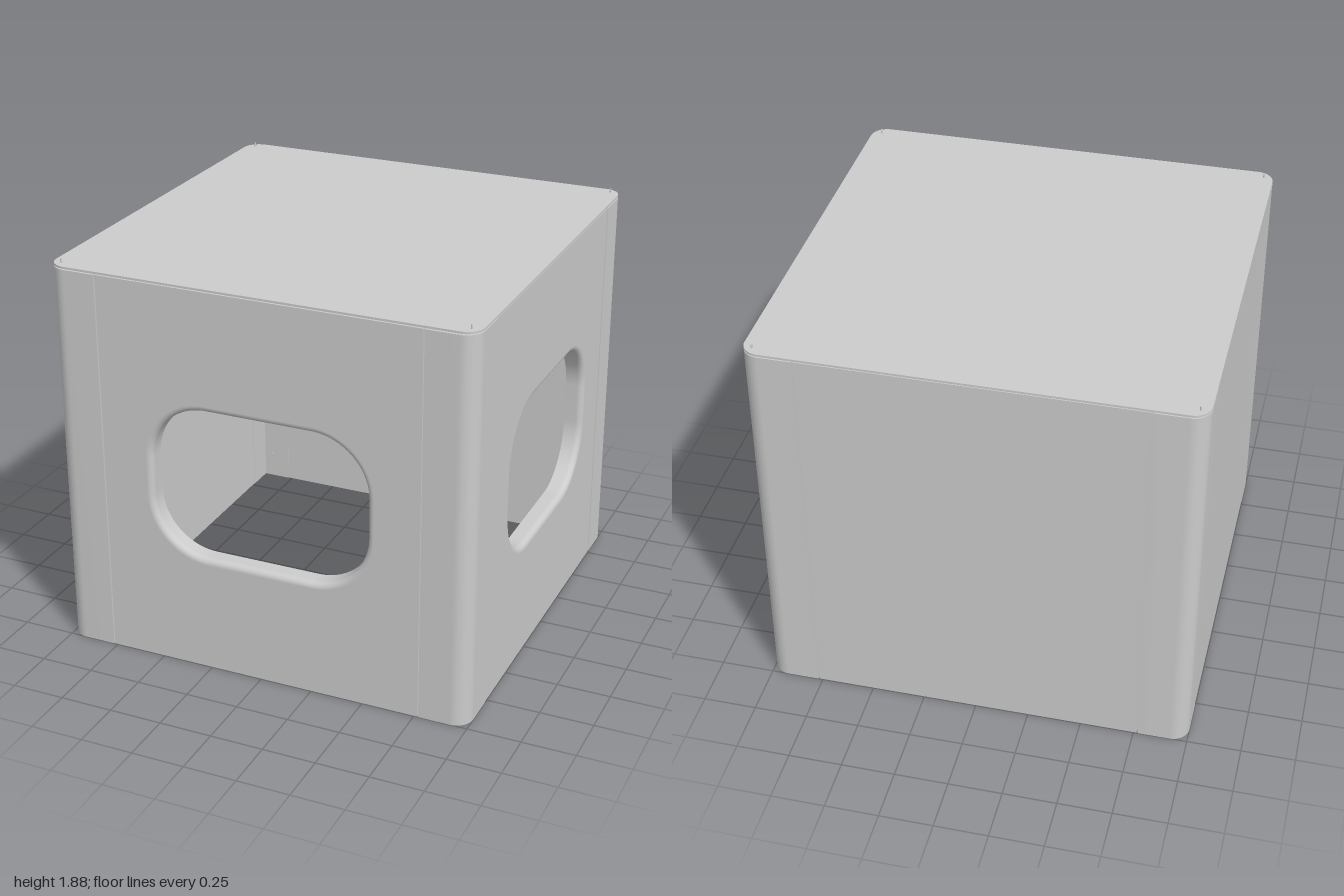
import * as THREE from 'three';
import { toCreasedNormals } from 'three/addons/utils/BufferGeometryUtils.js';

const TOP = 1.862, PLATE = 0.01, HEIGHT = 1.847;          // lid top, lid thickness, wall height
const SEAM = 0.77, GROOVE = 0.005, INNER = 0.908, PIN = 0.955;
const FACE = 0.998, FILLET = 0.028;
const grey = new THREE.MeshStandardMaterial({ color: 0xcccccc });
const greyDouble = new THREE.MeshStandardMaterial({ color: 0xcccccc, side: THREE.DoubleSide });

function add(parent, name, geometry, x = 0, y = 0, z = 0, material = grey) {
  const mesh = new THREE.Mesh(geometry, material);
  mesh.name = name;
  mesh.position.set(x, y, z);
  parent.add(mesh);
  return mesh;
}

// Rounded rectangle centred on (0, cy), with half sizes w and h
function roundedRect(w, h, r, cy = 0, Type = THREE.Shape) {
  const s = new Type();
  s.absarc(w - r, cy - h + r, r, -Math.PI / 2, 0);
  s.absarc(w - r, cy + h - r, r, 0, Math.PI / 2);
  s.absarc(-w + r, cy + h - r, r, Math.PI / 2, Math.PI);
  s.absarc(-w + r, cy - h + r, r, Math.PI, Math.PI * 1.5);
  s.closePath();
  return s;
}

function extrude(shape, depth) {
  const g = new THREE.ExtrudeGeometry(shape, { depth, bevelEnabled: false, curveSegments: 14 });
  return toCreasedNormals(g, 0.5);
}

// Extrude a plan shape upwards
const extrudeUp = (shape, height) => extrude(shape, height).rotateX(-Math.PI / 2);

const opening = (grow, Type) => roundedRect(0.522 + grow, 0.363 + grow, 0.27 + grow, 0.923, Type);

function wallShape(halfWidth) {
  const s = new THREE.Shape();
  s.moveTo(-halfWidth, 0);
  s.lineTo(halfWidth, 0);
  s.lineTo(halfWidth, HEIGHT);
  s.lineTo(-halfWidth, HEIGHT);
  s.closePath();
  return s;
}

// Quarter-round lip running around the window opening
function lipGeometry() {
  const steps = 8, pos = [], idx = [];
  let n = 0;
  for (let i = 0; i <= steps; i++) {
    const a = (i / steps) * Math.PI / 2;
    const pts = opening(FILLET * (1 - Math.sin(a)), THREE.Shape).getPoints(14);
    pts.pop();
    n = pts.length;
    pts.forEach(p => pos.push(p.x, p.y, FACE - FILLET * (1 - Math.cos(a))));
  }
  for (let i = 0; i < steps; i++) {
    for (let j = 0; j < n; j++) {
      const k = (j + 1) % n, a = i * n + j, b = i * n + k, c = a + n, d = b + n;
      idx.push(a, b, c, b, d, c);
    }
  }
  const g = new THREE.BufferGeometry();
  g.setAttribute('position', new THREE.Float32BufferAttribute(pos, 3));
  g.setIndex(idx);
  g.computeVertexNormals();
  return g;
}

// Outer panel stops short of the posts to leave a fine groove; inner panel closes it
function wall(name, hasWindow) {
  const group = new THREE.Group();
  group.name = name;
  const outer = wallShape(SEAM - GROOVE), inner = wallShape(SEAM);
  if (hasWindow) {
    outer.holes.push(opening(FILLET, THREE.Path));
    inner.holes.push(opening(0, THREE.Path));
    add(group, 'windowLip', lipGeometry(), 0, 0, 0, greyDouble);
  }
  const back = INNER + 0.003;
  add(group, 'outerPanel', extrude(outer, FILLET), 0, 0, FACE - FILLET);
  add(group, 'innerPanel', extrude(inner, FACE - FILLET - back), 0, 0, back);
  return group;
}

// L-shaped post with a rounded outer corner and a pin socket
function postShape() {
  const r = 0.08, s = new THREE.Shape();
  s.moveTo(SEAM, INNER);
  s.lineTo(INNER, INNER);
  s.lineTo(INNER, SEAM);
  s.lineTo(1, SEAM);
  s.absarc(1 - r, 1 - r, r, 0, Math.PI / 2);
  s.lineTo(SEAM, 1);
  s.closePath();
  s.holes.push(new THREE.Path().absarc(PIN, PIN, 0.011, 0, Math.PI * 2));
  return s;
}

export function createModel() {
  const model = new THREE.Group();
  model.name = 'stackableCube';

  // Walls: windows in the front and the +x side
  ['frontWall', 'leftWall', 'backWall', 'rightWall'].forEach((name, i) => {
    const w = wall(name, i < 2);
    w.rotation.y = i * Math.PI / 2;
    model.add(w);
  });

  // Corner posts, with bolts inside and a stacking pin on top
  const post = extrudeUp(postShape(), HEIGHT);
  const bolt = new THREE.CylinderGeometry(0.005, 0.005, 0.006, 10);
  const pin = new THREE.CylinderGeometry(0.004, 0.005, 0.02, 12);
  for (let i = 0; i < 4; i++) {
    const corner = new THREE.Group();
    corner.name = 'corner';
    corner.rotation.y = i * Math.PI / 2;
    add(corner, 'cornerPost', post);
    add(corner, 'stackingPin', pin, PIN, TOP + 0.009, -PIN);
    for (const y of [0.08, 0.13]) {
      for (const u of [0.81, 0.865]) {
        add(corner, 'bolt', bolt, INNER, y, -u).rotation.z = Math.PI / 2;
        add(corner, 'bolt', bolt, u, y, -INNER).rotation.x = Math.PI / 2;
      }
    }
    model.add(corner);
  }

  // Lid, resting on a slightly inset spacer that forms the shadow line
  add(model, 'lidSpacer', extrudeUp(roundedRect(0.985, 0.985, 0.065), TOP - PLATE - HEIGHT), 0, HEIGHT, 0);
  add(model, 'lid', extrudeUp(roundedRect(1, 1, 0.08), PLATE), 0, TOP - PLATE, 0);
  return model;
}
